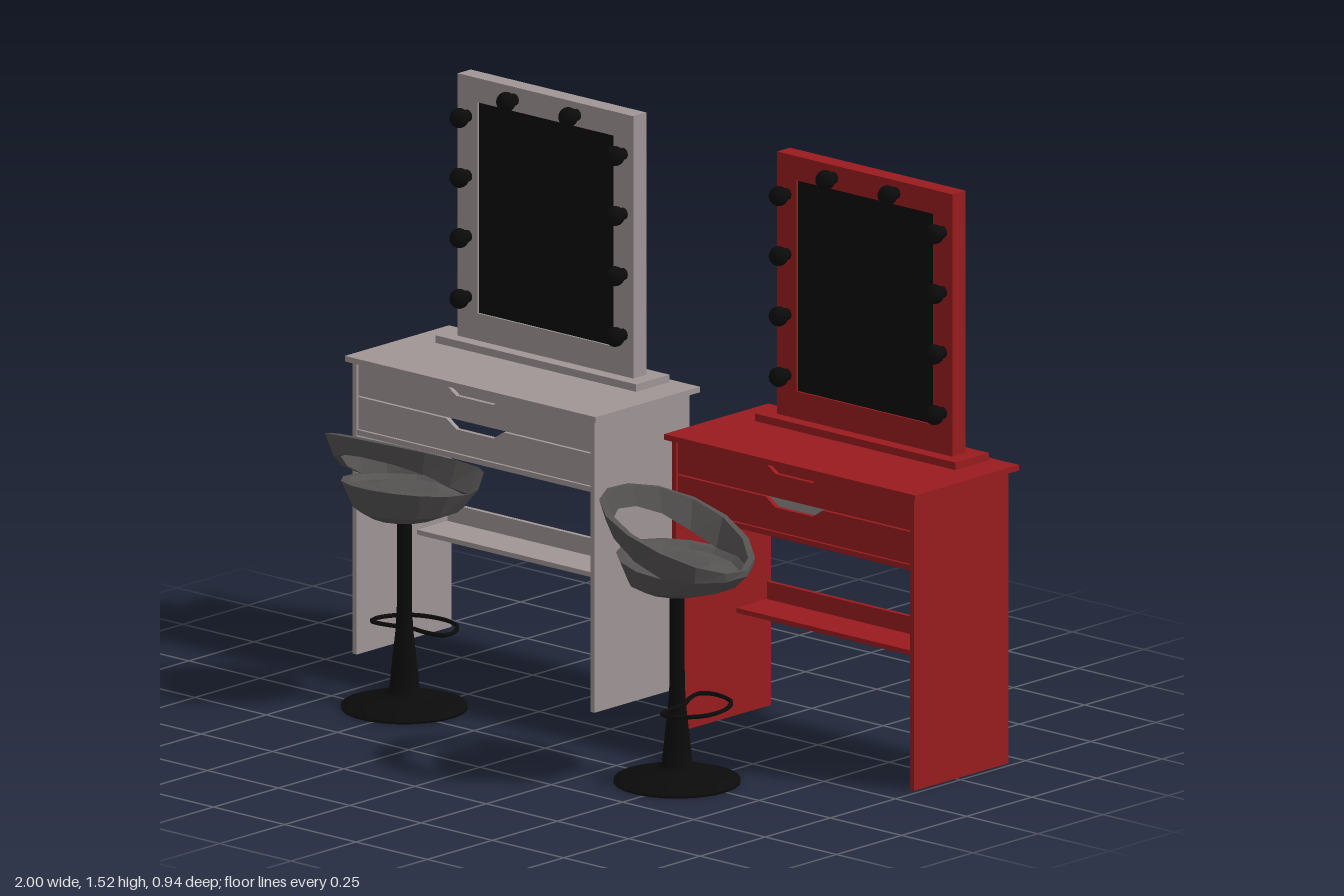
import * as THREE from 'three';

const mat = (color, extra = {}) => {
  const m = new THREE.MeshStandardMaterial({ color });
  return Object.assign(m, extra);
};
const black = mat(0x0b0b0b);
const seatGrey = mat(0x555252, { flatShading: true, side: THREE.DoubleSide });

function add(parent, name, geometry, material) {
  const mesh = new THREE.Mesh(geometry, material);
  mesh.name = name;
  parent.add(mesh);
  return mesh;
}

// box given by its min and max on each axis
function box(parent, name, material, x0, x1, y0, y1, z0, z1) {
  const m = add(parent, name, new THREE.BoxGeometry(x1 - x0, y1 - y0, z1 - z0), material);
  m.position.set((x0 + x1) / 2, (y0 + y1) / 2, (z0 + z1) / 2);
  return m;
}

// skin over rings; each ring is a function angle -> [radius, y]
function skin(rings, sides) {
  const pos = [], idx = [];
  rings.forEach(ring => {
    for (let i = 0; i < sides; i++) {
      const a = (i / sides) * Math.PI * 2;
      const [r, y] = ring(a);
      pos.push(r * Math.sin(a), y, r * Math.cos(a));
    }
  });
  for (let j = 0; j < rings.length - 1; j++) {
    for (let i = 0; i < sides; i++) {
      const k = (i + 1) % sides;
      const a = j * sides + i, b = j * sides + k, c = b + sides, d = a + sides;
      idx.push(a, b, c, a, c, d);
    }
  }
  const g = new THREE.BufferGeometry();
  g.setAttribute('position', new THREE.Float32BufferAttribute(pos, 3));
  g.setIndex(idx);
  const flat = g.toNonIndexed();
  flat.computeVertexNormals();
  return flat;
}

// drawer front with a trapezoid finger notch in its top edge
function drawerFront(w, y0, y1) {
  const s = new THREE.Shape();
  s.moveTo(-w, y0);
  s.lineTo(w, y0);
  s.lineTo(w, y1);
  s.lineTo(0.1, y1);
  s.lineTo(0.065, y1 - 0.023);
  s.lineTo(-0.065, y1 - 0.023);
  s.lineTo(-0.1, y1);
  s.lineTo(-w, y1);
  s.closePath();
  return new THREE.ExtrudeGeometry(s, { depth: 0.013, bevelEnabled: false });
}

function createDesk(name, color, withDrawerBottom) {
  const desk = new THREE.Group();
  desk.name = name;
  const paint = mat(color);

  // carcass
  box(desk, 'deskTop', paint, -0.44, 0.44, 0.785, 0.8, -0.475, -0.075);
  for (const s of [-1, 1]) {
    const side = box(desk, 'sidePanel', paint, -0.007, 0.007, 0, 0.785, -0.452, -0.088);
    side.position.x = s * 0.417;
  }
  box(desk, 'backPanel', paint, -0.41, 0.41, 0.59, 0.785, -0.45, -0.437);
  box(desk, 'frontRail', paint, -0.41, 0.41, 0.59, 0.604, -0.105, -0.09);
  box(desk, 'lowerBackRail', paint, -0.41, 0.41, 0.275, 0.335, -0.45, -0.437);
  box(desk, 'lowerShelf', paint, -0.41, 0.41, 0.275, 0.288, -0.437, -0.32);

  // two drawers
  for (const [y0, y1] of [[0.606, 0.692], [0.696, 0.782]]) {
    add(desk, 'drawerFront', drawerFront(0.408, y0, y1), paint).position.z = -0.106;
    for (const s of [-1, 1]) {
      const side = box(desk, 'drawerSide', paint, -0.005, 0.005, y0, y1 - 0.02, -0.38, -0.106);
      side.position.x = s * 0.395;
    }
  }
  if (withDrawerBottom) box(desk, 'drawerBottom', seatGrey, -0.39, 0.39, 0.608, 0.613, -0.38, -0.106);

  // mirror frame on its riser
  box(desk, 'mirrorRiser', paint, -0.352, 0.352, 0.8, 0.82, -0.455, -0.327);
  const frame = new THREE.Shape();
  frame.moveTo(-0.308, 0.82);
  frame.lineTo(0.308, 0.82);
  frame.lineTo(0.308, 1.525);
  frame.lineTo(-0.308, 1.525);
  frame.closePath();
  const hole = new THREE.Path();
  hole.moveTo(-0.239, 0.893);
  hole.lineTo(-0.239, 1.46);
  hole.lineTo(0.239, 1.46);
  hole.lineTo(0.239, 0.893);
  hole.closePath();
  frame.holes.push(hole);
  add(desk, 'mirrorFrame', new THREE.ExtrudeGeometry(frame, { depth: 0.05, bevelEnabled: false }), paint)
    .position.z = -0.414;
  box(desk, 'mirrorBack', paint, -0.239, 0.239, 0.893, 1.46, -0.414, -0.39);
  box(desk, 'mirrorGlass', black, -0.239, 0.239, 0.893, 1.46, -0.39, -0.37);

  // light bulbs up both sides and along the top
  const spots = [[0.109, 1.492]];
  for (const y of [0.932, 1.095, 1.257, 1.418]) spots.push([0.273, y]);
  for (const [x, y] of spots) {
    for (const s of [-1, 1]) {
      add(desk, 'bulb', new THREE.SphereGeometry(0.026, 16, 12), black).position.set(s * x, y, -0.332);
      const socket = add(desk, 'bulbSocket', new THREE.CylinderGeometry(0.016, 0.016, 0.024, 12), black);
      socket.rotation.x = Math.PI / 2;
      socket.position.set(s * x, y, -0.356);
    }
  }
  return desk;
}

// bar stool, backrest toward local +z
function createStool(name) {
  const stool = new THREE.Group();
  stool.name = name;

  // trumpet base and pole
  const profile = [[0, 0], [0.165, 0], [0.165, 0.008], [0.12, 0.022], [0.06, 0.037], [0.04, 0.05],
    [0.035, 0.1], [0.024, 0.2], [0.02, 0.26], [0.019, 0.53]].map(p => new THREE.Vector2(...p));
  add(stool, 'baseAndPole', new THREE.LatheGeometry(profile, 24), black);

  // foot loop
  const half = [[0.06, -0.008], [0.115, -0.012], [0.122, -0.05], [0.08, -0.115]];
  const loop = [[0, -0.02], ...half, [0, -0.138], ...half.map(([x, z]) => [-x, z]).reverse()];
  const path = new THREE.CatmullRomCurve3(loop.map(([x, z]) => new THREE.Vector3(x, 0.21, z)), true);
  add(stool, 'footLoop', new THREE.TubeGeometry(path, 40, 0.006, 6, true), black);

  // bucket seat: shallow bowl with a slanted rim
  const rimY = a => 0.597 + 0.022 * Math.cos(a);
  const rimR = a => 0.178 - 0.022 * Math.cos(a);
  const bowl = [
    () => [0, 0.515],
    () => [0.09, 0.517],
    a => [0.145 - 0.02 * Math.cos(a), 0.54],
    a => [rimR(a), rimY(a)],
    a => [rimR(a) - 0.02, rimY(a)],
    a => [rimR(a) - 0.035, rimY(a) - 0.012],
    a => [0.09, 0.59],
    () => [0, 0.588],
  ];
  add(stool, 'seatBowl', skin(bowl, 14), seatGrey);

  // back band, leaving an opening above the bowl and merging with it at the front
  const topY = a => 0.59 + 0.0875 * (1 + Math.cos(a)) + 0.012 * Math.sin(a) ** 2;
  const topR = a => 0.2 + 0.01 * Math.sin(a) ** 2;
  const lowY = a => Math.min(rimY(a) + 0.095 * Math.max(0, Math.cos(a)) ** 0.8, topY(a) - 0.008);
  const lowR = a => rimR(a) + 0.03 * Math.max(0, Math.cos(a));
  const band = [
    a => [lowR(a), lowY(a)],
    a => [topR(a), topY(a)],
    a => [topR(a) - 0.018, topY(a)],
    a => [lowR(a) - 0.018, lowY(a)],
    a => [lowR(a), lowY(a)],
  ];
  add(stool, 'backBand', skin(band, 14), seatGrey);
  return stool;
}

export function createModel() {
  const model = new THREE.Group();
  model.name = 'vanitySet';

  const greyDesk = createDesk('greyVanity', 0xa09696, false);
  greyDesk.position.x = -0.56;
  const redDesk = createDesk('redVanity', 0x991b1e, true);
  redDesk.position.x = 0.56;

  const greyStool = createStool('greyVanityStool');
  greyStool.position.set(-0.535, 0, 0.205);
  greyStool.rotation.y = 0.1;
  const redStool = createStool('redVanityStool');
  redStool.position.set(0.47, 0, 0.258);
  redStool.rotation.y = -1.27;

  model.add(greyDesk, redDesk, greyStool, redStool);
  return model;
}
